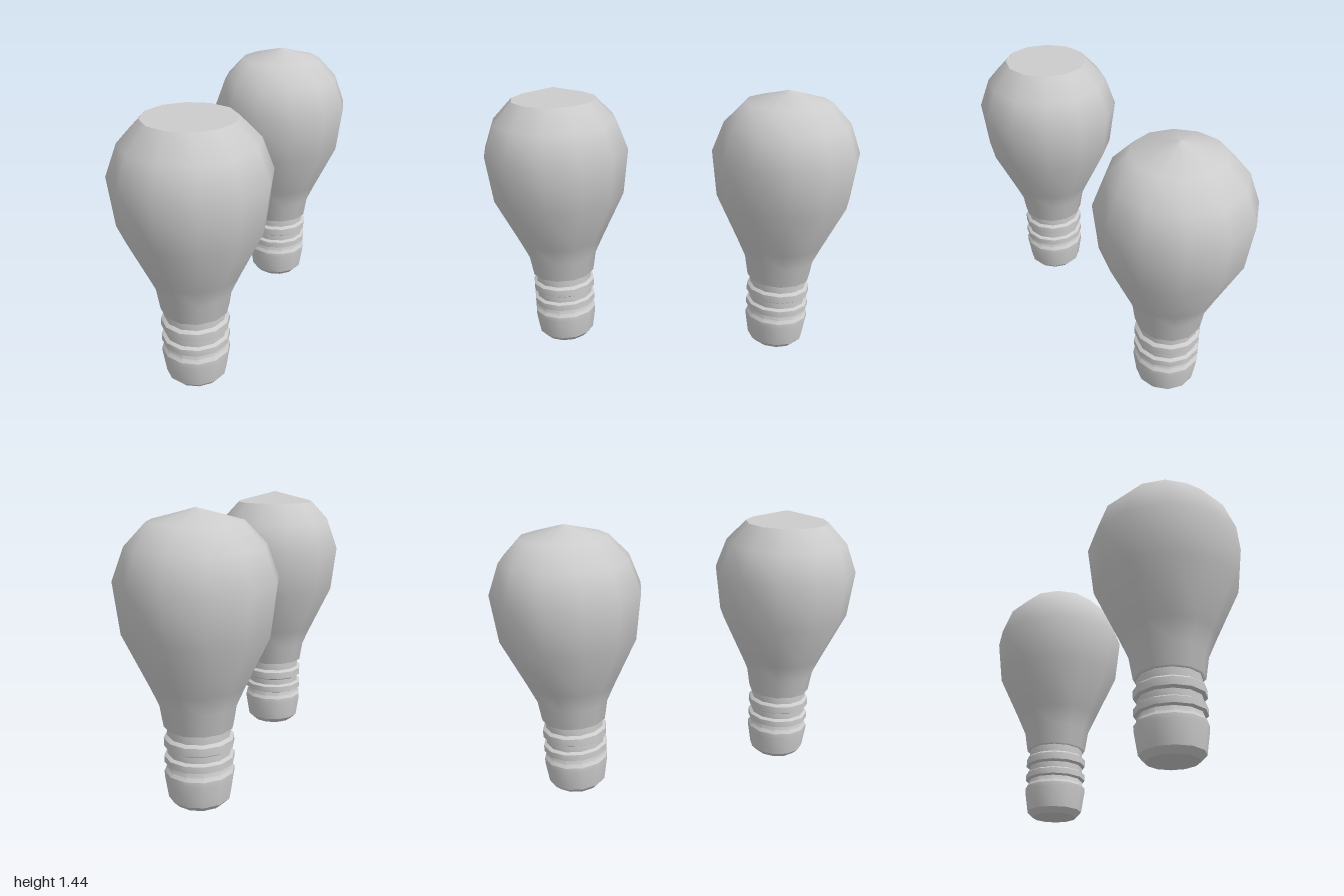
import * as THREE from 'three';
import { toCreasedNormals } from 'three/addons/utils/BufferGeometryUtils.js';

const SIDES = 12;
const SPACING = 0.611;

// [radius, height] profiles, bottom to top
const GLASS = [[0.155, 0.395], [0.172, 0.4], [0.19, 0.51], [0.235, 0.61], [0.357, 0.866],
  [0.388, 1.115], [0.33, 1.272], [0.225, 1.383]];
const TIP = [0, 1.443];
const BASE = [[0, 0], [0.125, 0], [0.155, 0.03], [0.173, 0.145], [0.173, 0.17], [0.16, 0.187],
  [0.156, 0.21], [0.173, 0.217], [0.173, 0.25], [0.156, 0.26], [0.156, 0.292],
  [0.173, 0.302], [0.173, 0.342], [0.156, 0.355], [0.156, 0.4]];

const material = new THREE.MeshStandardMaterial({ color: 0xcccccc, side: THREE.DoubleSide });

function lathe(profile) {
  return new THREE.LatheGeometry(profile.map(([r, y]) => new THREE.Vector2(r, y)), SIDES);
}

function addPart(parent, name, geometry) {
  const mesh = new THREE.Mesh(geometry, material);
  mesh.name = name;
  parent.add(mesh);
}

function createBulb(name, z, flatTip) {
  const bulb = new THREE.Group();
  bulb.name = name;
  bulb.position.z = z;

  // Ribbed screw base with crisp ring edges
  addPart(bulb, 'screwBase', toCreasedNormals(lathe(BASE), 0.6));

  // Smooth glass envelope; one bulb has a separately shaded shallow tip
  addPart(bulb, 'glass', lathe(flatTip ? GLASS : [...GLASS, TIP]));
  if (flatTip) {
    const cap = lathe([GLASS[GLASS.length - 1], TIP]);
    const normals = cap.attributes.normal;
    for (let i = 0; i < normals.count; i++) normals.setXYZ(i, 0, 1, 0);
    addPart(bulb, 'glassTip', cap);
  }
  return bulb;
}

export function createModel() {
  const model = new THREE.Group();
  model.name = 'lightBulbs';
  model.add(createBulb('frontBulb', SPACING, true));
  model.add(createBulb('backBulb', -SPACING, false));
  return model;
}
